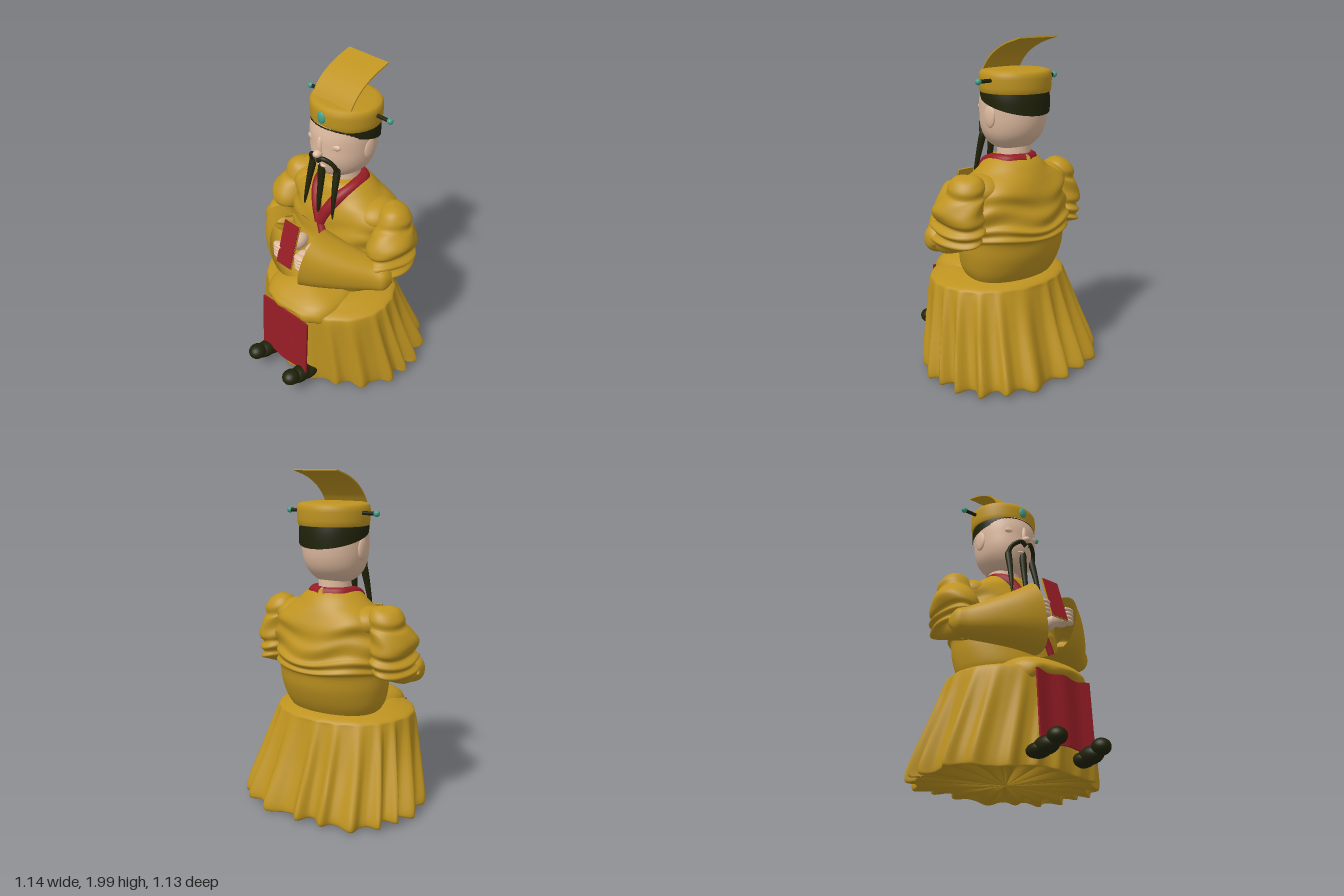
import * as THREE from 'three';

const mat = (name, color, double) => {
  const m = new THREE.MeshStandardMaterial({ color });
  m.name = name;
  if (double) m.side = THREE.DoubleSide;
  return m;
};

// Catmull-Rom smoothing of rows of numbers
function smooth(rows, sub = 4) {
  const out = [], last = rows.length - 1;
  const at = (i) => rows[Math.max(0, Math.min(last, i))];
  for (let i = 0; i < last; i++) {
    for (let k = 0; k < sub; k++) {
      const t = k / sub, a = at(i - 1), b = at(i), c = at(i + 1), d = at(i + 2);
      out.push(b.map((v, j) => v + 0.5 * t * (c[j] - a[j] + t * (2 * a[j] - 5 * v + 4 * c[j] - d[j]
        + t * (3 * (v - c[j]) + d[j] - a[j])))));
    }
  }
  out.push(rows[last]);
  return out;
}

// Closed rings joined into a skin; f(row, angle) gives a point
function loft(rows, n, f) {
  const pos = [], idx = [], R = smooth(rows);
  R.forEach((row, v) => {
    for (let u = 0; u < n; u++) {
      pos.push(...f(row, (u / n) * Math.PI * 2));
      if (v < R.length - 1) {
        const a = v * n + u, b = v * n + (u + 1) % n;
        idx.push(a, a + n, b, b, a + n, b + n);
      }
    }
  });
  const g = new THREE.BufferGeometry();
  g.setAttribute('position', new THREE.Float32BufferAttribute(pos, 3));
  g.setIndex(idx);
  g.computeVertexNormals();
  return g;
}

// Mirror a geometry across x = 0, keeping faces outward
function mirror(geo) {
  const g = geo.clone().scale(-1, 1, 1), a = g.index.array;
  for (let i = 0; i < a.length; i += 3) [a[i], a[i + 1]] = [a[i + 1], a[i]];
  g.computeVertexNormals();
  return g;
}

// Rounded-square power of a sine or cosine
const sq = (v, e) => Math.sign(v) * Math.pow(Math.abs(v), e);

// Horizontal ring: [y, rx, zBack, zFront]
const egg = (zc, e = 1) => ([y, rx, zb, zf], t) => {
  const s = sq(Math.sin(t), e);
  return [sq(Math.cos(t), e) * rx, y, zc + s * (s > 0 ? zf - zc : zc - zb)];
};

export function createModel() {
  const root = new THREE.Group();
  const gold = mat('gold cloth', 0xbe9320, true), red = mat('red cloth', 0x961d25);
  const skin = mat('skin', 0xdeba9f), dark = mat('dark hair', 0x202209), jade = mat('jade', 0x45a08a);

  const add = (name, geo, m, x = 0, y = 0, z = 0) => {
    const mesh = new THREE.Mesh(geo, m);
    mesh.name = name;
    mesh.position.set(x, y, z);
    root.add(mesh);
    return mesh;
  };
  const ball = (name, m, [x, y, z], [a, b, c]) =>
    add(name, new THREE.SphereGeometry(1, 28, 18).scale(a, b, c), m, x, y, z);
  const pair = (name, geo, m, x = 0) => {
    add('left ' + name, geo, m, x);
    add('right ' + name, mirror(geo), m, x);
  };
  const V = (p) => new THREE.Vector3(...p);

  // Pleated skirt with gathered underside: [y, rx, zBack, zFront, pleat depth, underside fold]
  const skirt = [
    [0.03, 0.005, -0.105, -0.095, 0, 0], [0.025, 0.15, -0.23, 0.03, 0.06, 0.05], [0.02, 0.36, -0.39, 0.22, 0.12, 0.06],
    [0.015, 0.52, -0.5, 0.34, 0.14, 0.045], [0.012, 0.56, -0.55, 0.365, 0.14, 0.01], [0.04, 0.572, -0.565, 0.372, 0.14, 0],
    [0.12, 0.56, -0.54, 0.376, 0.13, 0], [0.3, 0.513, -0.465, 0.378, 0.1, 0], [0.45, 0.475, -0.41, 0.38, 0.06, 0],
    [0.55, 0.447, -0.375, 0.378, 0.025, 0], [0.582, 0.425, -0.36, 0.36, 0.005, 0], [0.605, 0.35, -0.31, 0.3, 0, 0],
    [0.625, 0.25, -0.22, 0.22, 0, 0], [0.63, 0.005, -0.105, -0.095, 0, 0],
  ];
  add('pleated skirt', loft(skirt, 240, ([y, rx, zb, zf, amp, fold], t) => {
    const c = Math.cos(t), s = Math.sin(t), zc = (zb + zf) / 2, h = (zf - zb) / 2;
    const wave = 0.5 + 0.5 * Math.cos(20 * t + 1.1 * Math.sin(3 * t + 1) + 0.6 * Math.sin(7 * t) + 1.5 * y);
    const deep = amp * (s > 0 ? 1 - 0.6 * s : 1) * (0.85 + 0.15 * Math.cos(5 * t + 2));
    const corner = s < 0 ? 0.5 * amp * Math.pow(Math.sin(2 * t), 2) : 0;
    const k = (1 - deep * (1 - Math.pow(wave, 1.9))) * (1 + corner);
    return [c * rx * k, y + 0.06 * amp * (1 + Math.cos(7 * t)) + fold * (1 - wave), zc + s * h * k];
  }), gold);

  // Cloth draped over the knees, its hem lifted at the middle
  const lap = [
    [0.485, 0.17, 0.05, 0.34], [0.495, 0.235, 0, 0.385], [0.53, 0.262, -0.02, 0.402], [0.58, 0.262, -0.04, 0.402],
    [0.62, 0.245, -0.05, 0.375], [0.65, 0.205, -0.05, 0.33], [0.675, 0.13, 0, 0.28], [0.69, 0.06, 0.1, 0.24],
    [0.692, 0.005, 0.17, 0.18],
  ];
  add('lap cloth', loft(lap, 80, (r, t) => {
    const p = egg(0.175, 0.75)(r, t), s = Math.max(0, Math.sin(t));
    const low = Math.max(0, (0.6 - r[0]) / 0.11);
    p[1] += 0.06 * low * Math.pow(s, 3) + 0.01 * low * Math.cos(9 * t);
    p[2] += 0.008 * low * s * Math.cos(11 * t);
    return p;
  }), gold);

  // Robe body with draped folds
  const body = [
    [0.59, 0.28, -0.29, 0.12], [0.66, 0.32, -0.335, 0.165], [0.76, 0.345, -0.375, 0.155], [0.85, 0.355, -0.39, 0.14],
    [0.875, 0.375, -0.415, 0.14], [0.9, 0.365, -0.4, 0.14], [0.93, 0.38, -0.418, 0.13], [0.96, 0.365, -0.39, 0.12],
    [1.02, 0.385, -0.39, 0.11], [1.07, 0.36, -0.37, 0.1], [1.13, 0.37, -0.37, 0.09], [1.19, 0.32, -0.34, 0.07],
    [1.24, 0.24, -0.31, 0.05], [1.29, 0.18, -0.275, 0.03], [1.32, 0.13, -0.23, -0.01], [1.325, 0.02, -0.14, -0.1],
  ];
  const ring = egg(-0.12);
  add('robe body', loft(body, 80, (r, t) => {
    const p = ring(r, t), y = r[0];
    const w = y > 0.83 && y < 1.25 ? Math.sin((y - 0.83) / 0.42 * Math.PI) : 0;
    const k = 1 + w * 0.03 * Math.sin(5 * t + 22 * y);
    return [p[0] * k, y - w * 0.025 * Math.cos(4 * t), -0.12 + (p[2] + 0.12) * k];
  }), gold);

  // Puffed upper sleeves gathered into rolls at the elbow: [y, cx, cz, rx, rz]
  const upper = [
    [0.79, 0.4, 0.02, 0.02, 0.03], [0.805, 0.405, 0, 0.07, 0.09], [0.85, 0.405, -0.06, 0.095, 0.15],
    [0.875, 0.405, -0.08, 0.12, 0.19], [0.905, 0.4, -0.09, 0.1, 0.17], [0.935, 0.4, -0.09, 0.125, 0.195],
    [0.968, 0.395, -0.1, 0.095, 0.165], [1.0, 0.4, -0.1, 0.115, 0.18], [1.05, 0.4, -0.1, 0.13, 0.165],
    [1.11, 0.385, -0.12, 0.113, 0.14], [1.14, 0.37, -0.13, 0.105, 0.115], [1.18, 0.37, -0.14, 0.106, 0.11],
    [1.225, 0.368, -0.14, 0.08, 0.085], [1.248, 0.365, -0.14, 0.042, 0.045], [1.255, 0.365, -0.14, 0.003, 0.003],
  ];
  pair('upper sleeve', loft(upper, 40, ([y, cx, cz, rx, rz], t) => {
    const k = 1 + 0.03 * Math.sin(4 * t + 30 * y) * (y < 1.12 ? 1 : 0);
    return [cx + Math.cos(t) * rx * k, y + 0.1 * rx * Math.sin(2 * t), cz + Math.sin(t) * rz * k];
  }), gold);
  for (const s of [-1, 1]) ball('shoulder fold', gold, [s * 0.26, 1.15, -0.13], [0.12, 0.09, 0.14]);

  // Wide forearm sleeves, cuff to elbow: [cx, cy, cz, ax, az, ux, uy]
  const fore = [
    [0.08, 0.92, 0.235, 0.035, 0.15, 0.05, 0.2], [0.18, 0.905, 0.19, 0.035, 0.14, 0.03, 0.16],
    [0.3, 0.885, 0.12, 0.035, 0.115, 0.015, 0.12], [0.41, 0.87, 0.045, 0.04, 0.08, 0, 0.09],
    [0.47, 0.865, 0.02, 0.035, 0.06, 0, 0.07], [0.505, 0.865, 0, 0.005, 0.01, 0, 0.02],
  ];
  pair('forearm sleeve', loft(fore, 40, ([cx, cy, cz, ax, az, ux, uy], t) => {
    const c = sq(Math.cos(t), 0.85), s = sq(Math.sin(t), 0.85);
    return [cx + c * ax + s * ux, cy + s * uy, cz + c * az];
  }), gold);

  // Hands with curled fingers
  for (const s of [-1, 1]) {
    ball('wrist', skin, [s * 0.062, 0.95, 0.21], [0.042, 0.05, 0.07]);
    ball('palm', skin, [s * 0.078, 0.95, 0.305], [0.05, 0.056, 0.06]);
    for (let i = 0; i < 4; i++) ball('finger', skin, [s * 0.088, 0.985 - i * 0.024, 0.345], [0.042, 0.017, 0.028]);
  }

  // Ceremonial tablet, gold back and red face
  const tablet = new THREE.Group();
  tablet.name = 'tablet';
  const back = new THREE.Mesh(new THREE.BoxGeometry(0.12, 0.28, 0.01), gold);
  const face = new THREE.Mesh(new THREE.BoxGeometry(0.116, 0.276, 0.004), red);
  back.name = 'tablet back';
  face.name = 'tablet face';
  face.position.z = 0.006;
  tablet.add(back, face);
  tablet.position.set(-0.01, 1.03, 0.342);
  tablet.rotation.x = -0.3;
  root.add(tablet);

  // Collar and crossed lapel
  const collar = new THREE.CatmullRomCurve3([[0, 1.07, 0.085], [0.045, 1.17, 0.062], [0.09, 1.255, 0.01],
    [0.115, 1.295, -0.08], [0.095, 1.3, -0.18], [0, 1.3, -0.225]].map(V));
  pair('collar', new THREE.TubeGeometry(collar, 40, 0.038, 14), red);
  const lapel = new THREE.CatmullRomCurve3([[0, 1.08, 0.09], [0.06, 0.97, 0.115], [0.12, 0.85, 0.13],
    [0.15, 0.775, 0.135]].map(V));
  add('lower lapel', new THREE.TubeGeometry(lapel, 16, 0.025, 10), red);

  // Hanging front panel
  const panel = new THREE.BoxGeometry(0.39, 0.4, 0.012, 24, 12, 1);
  const pp = panel.attributes.position;
  for (let i = 0; i < pp.count; i++) {
    const x = pp.getX(i), y = pp.getY(i);
    pp.setZ(i, pp.getZ(i) - y * 0.06 + 0.006 * Math.cos(x * 30));
    pp.setY(i, y + 0.006 * Math.cos(x * 32) * (y > 0 ? 1 : 0.4));
  }
  panel.computeVertexNormals();
  add('front panel', panel, red, -0.005, 0.34, 0.402);

  // Shoes with upturned toes
  for (const x of [-0.167, 0.147]) {
    ball('shoe toe', dark, [x, 0.15, 0.51], [0.053, 0.047, 0.056]);
    ball('shoe middle', dark, [x, 0.12, 0.43], [0.055, 0.05, 0.085]);
    ball('shoe heel', dark, [x, 0.105, 0.37], [0.06, 0.042, 0.08]);
  }

  // Head, neck, ears and face
  const X = -0.01;
  add('neck', new THREE.CylinderGeometry(0.095, 0.1, 0.16, 32), skin, X, 1.34, -0.125);
  const head = [
    [1.355, 0.01, -0.13, -0.11], [1.362, 0.08, -0.19, -0.01], [1.39, 0.128, -0.235, 0.04], [1.44, 0.167, -0.28, 0.065],
    [1.5, 0.186, -0.305, 0.08], [1.57, 0.194, -0.315, 0.08], [1.64, 0.196, -0.315, 0.078], [1.72, 0.19, -0.3, 0.06],
  ];
  add('head', loft(head, 56, egg(-0.12)), skin, X);
  ball('nose bridge', skin, [X, 1.575, 0.076], [0.02, 0.065, 0.02]);
  ball('nose tip', skin, [X, 1.538, 0.095], [0.026, 0.022, 0.032]);
  ball('lips', skin, [X, 1.455, 0.062], [0.04, 0.014, 0.02]);
  for (const s of [-1, 1]) {
    ball('ear', skin, [X + s * 0.19, 1.56, -0.125], [0.016, 0.066, 0.042]);
    ball('eyelid', skin, [X + s * 0.07, 1.595, 0.042], [0.055, 0.025, 0.021]);
  }

  // Tapered moustache and beard strands: [x, y, z, radius]
  const strand = (rows) => loft(rows, 12, ([x, y, z, r], t) => [x + Math.cos(t) * r, y, z + Math.sin(t) * r]);
  const side = [[0.115, 1.14, 0.095, 0.003], [0.11, 1.2, 0.088, 0.011], [0.102, 1.32, 0.064, 0.018],
    [0.096, 1.42, 0.04, 0.022], [0.093, 1.455, 0.036, 0.014], [0.093, 1.462, 0.036, 0.001]];
  pair('moustache strand', strand(side), dark, X);
  const lip = new THREE.CatmullRomCurve3([[0.003, 1.495, 0.098], [0.035, 1.517, 0.094], [0.07, 1.5, 0.073],
    [0.092, 1.47, 0.054], [0.097, 1.43, 0.044]].map(V));
  pair('moustache', new THREE.TubeGeometry(lip, 24, 0.014, 10), dark, X);
  add('beard strand', strand([[0, 1.1, 0.1, 0.003], [0, 1.2, 0.092, 0.014], [0, 1.32, 0.075, 0.019],
    [0, 1.42, 0.065, 0.023], [0, 1.46, 0.068, 0.014], [0, 1.465, 0.068, 0.001]]), dark, X);

  // Hair band, lower at the back
  const hair = [[0, 0.202, -0.33, 0.066], [0.5, 0.203, -0.33, 0.066], [1, 0.195, -0.32, 0.055]];
  add('hair', loft(hair, 56, (r, t) => {
    const p = egg(-0.135)(r, t);
    const low = 1.676 - (0.066 - p[2]) * 0.28;
    return [p[0], low + (1.72 - low) * r[0], p[2]];
  }), dark, X);

  // Hat with side pins, jewel and curved board
  const hat = [[0.0, 1.686], [0.2, 1.686], [0.209, 1.69], [0.213, 1.72], [0.215, 1.77], [0.212, 1.795],
    [0.2, 1.81], [0.17, 1.817], [0.0, 1.822]].map(([r, y]) => new THREE.Vector2(r, y));
  add('hat', new THREE.LatheGeometry(hat, 56).scale(1, 1, 0.94), gold, X, 0, -0.135);
  add('hat pin', new THREE.CylinderGeometry(0.011, 0.011, 0.6, 12).rotateZ(Math.PI / 2), dark, X, 1.762, -0.155);
  for (const s of [-1, 1]) ball('pin bead', jade, [X + s * 0.303, 1.762, -0.155], [0.018, 0.018, 0.018]);
  ball('hat jewel', jade, [X, 1.755, 0.065], [0.029, 0.036, 0.014]);

  const arc = new THREE.CatmullRomCurve3([[0, 1.815, -0.018], [0, 1.855, -0.045], [0, 1.908, -0.1],
    [0, 1.958, -0.19], [0, 1.996, -0.313]].map(V));
  const board = new THREE.BoxGeometry(0.293, 1, 0.008, 1, 20, 1);
  const bp = board.attributes.position;
  for (let i = 0; i < bp.count; i++) {
    const t = Math.min(1, Math.max(0, bp.getY(i) + 0.5)), p = arc.getPoint(t), d = arc.getTangent(t), h = bp.getZ(i);
    bp.setXYZ(i, bp.getX(i), p.y - d.z * h, p.z + d.y * h);
  }
  board.computeVertexNormals();
  add('hat board', board, gold, -0.012);

  return root;
}
